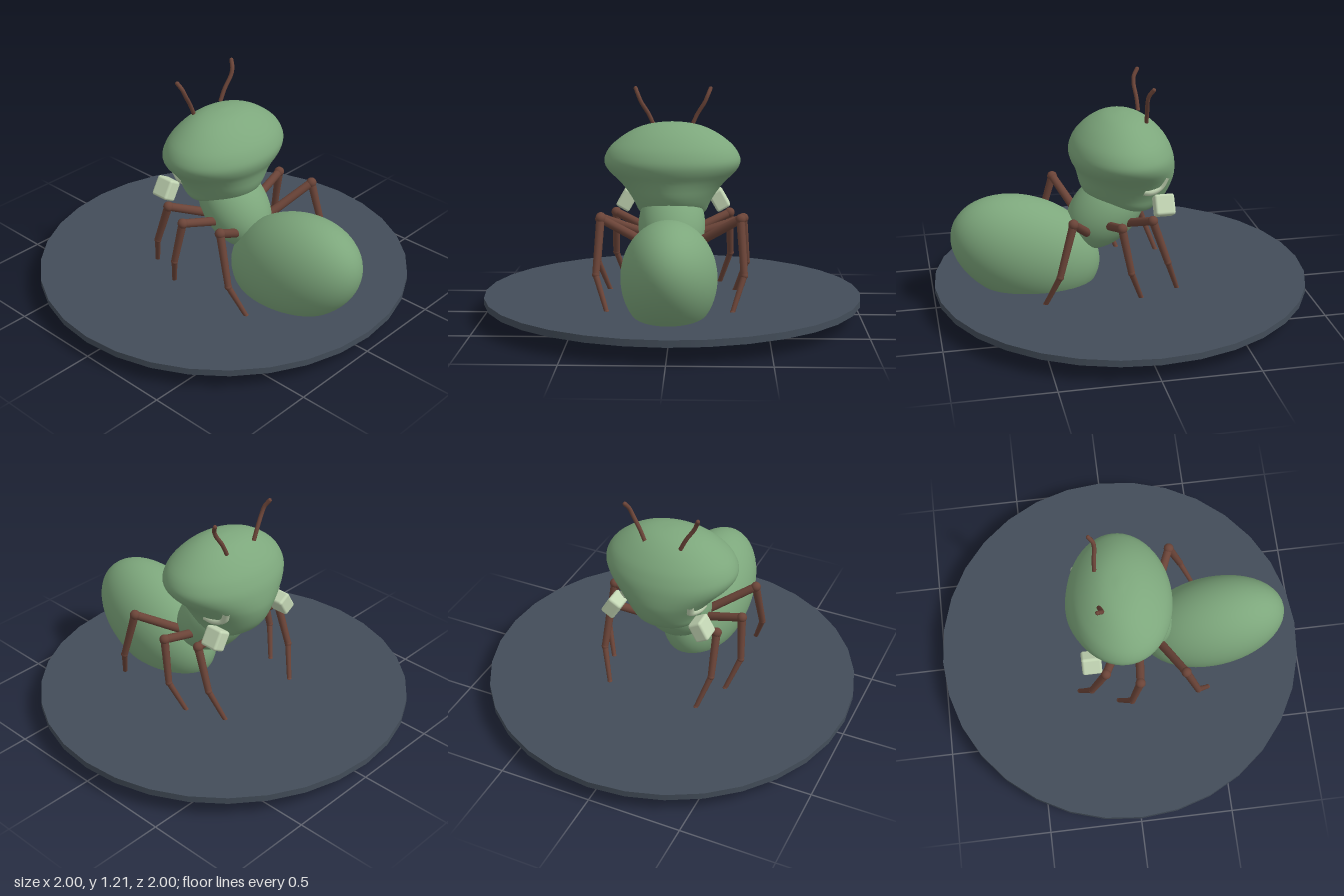
import * as THREE from 'three';
import { mergeVertices } from 'three/addons/utils/BufferGeometryUtils.js';
import { RoundedBoxGeometry } from 'three/addons/geometries/RoundedBoxGeometry.js';

const mat = (name, color) => {
  const m = new THREE.MeshStandardMaterial({ color });
  m.name = name;
  return m;
};
const V = (x, y, z) => new THREE.Vector3(x, y, z);

// Head: a sphere whose rows follow [y, half width, z at +z side, z at -z side]
const HEAD = [
  [1.037, 0, 0, 0], [1.027, 0.1, 0.07, -0.07], [1.005, 0.18, 0.125, -0.125],
  [0.965, 0.255, 0.185, -0.18], [0.91, 0.322, 0.237, -0.23], [0.86, 0.353, 0.263, -0.258],
  [0.82, 0.358, 0.27, -0.273], [0.78, 0.338, 0.26, -0.281], [0.74, 0.3, 0.24, -0.285],
  [0.7, 0.262, 0.228, -0.284], [0.65, 0.225, 0.215, -0.272], [0.6, 0.197, 0.185, -0.25],
  [0.56, 0.18, 0.125, -0.22], [0.53, 0.15, 0.04, -0.185], [0.51, 0.09, -0.03, -0.15],
  [0.5, 0, -0.09, -0.09],
];

function headGeometry() {
  const ys = new THREE.CatmullRomCurve3(HEAD.map(r => V(r[0], 0, 0)));
  ys.curveType = 'catmullrom';
  const spans = new THREE.CatmullRomCurve3(HEAD.map(r => V(r[1], r[2], r[3])));
  spans.curveType = 'catmullrom';
  const g = new THREE.SphereGeometry(1, 56, 45);
  const p = g.attributes.position, uv = g.attributes.uv;
  for (let i = 0; i < p.count; i++) {
    const t = THREE.MathUtils.clamp(1 - uv.getY(i), 0, 1);
    const a = Math.atan2(p.getZ(i), p.getX(i));
    const s = spans.getPoint(t);
    const mid = (s.y + s.z) / 2, half = (s.y - s.z) / 2;
    p.setXYZ(i, s.x * Math.cos(a), ys.getPoint(t).x, mid + half * Math.sin(a));
  }
  g.deleteAttribute('uv');
  g.deleteAttribute('normal');
  const merged = mergeVertices(g, 1e-4);
  merged.computeVertexNormals();
  return merged;
}

// Tapered round rod between two points
function rod(a, b, ra, rb, material, name) {
  const d = b.clone().sub(a);
  const m = new THREE.Mesh(new THREE.CylinderGeometry(rb, ra, d.length(), 12), material);
  m.position.copy(a).addScaledVector(d, 0.5);
  m.quaternion.setFromUnitVectors(V(0, 1, 0), d.normalize());
  m.name = name;
  return m;
}

function ball(center, radii, tilt, material, name, seg = 48) {
  const m = new THREE.Mesh(new THREE.SphereGeometry(1, seg, Math.round(seg * 0.7)), material);
  m.position.copy(center);
  m.scale.copy(radii);
  m.rotation.x = tilt;
  m.name = name;
  return m;
}

export function createModel() {
  const green = mat('body green', 0x7da77c);
  const pale = mat('pale green', 0xc3d6b4);
  const brown = mat('leg brown', 0x6b4438);
  const slate = mat('base slate', 0x434d59);
  const model = new THREE.Group();
  model.name = 'ant';

  // Round base
  const base = new THREE.Mesh(new THREE.CylinderGeometry(1, 1, 0.035, 32), slate);
  base.position.y = 0.107;
  base.name = 'base';
  model.add(base);

  // Body
  model.add(ball(V(0, 0.307, 0.51), V(0.24, 0.281, 0.412), -0.4, green, 'abdomen'));
  model.add(ball(V(0, 0.5, 0.08), V(0.175, 0.17, 0.25), Math.PI / 4, green, 'thorax'));
  const head = new THREE.Mesh(headGeometry(), green);
  head.name = 'head';
  model.add(head);

  // Leg joints: hip, knee, ankle, foot
  const legs = {
    hindLeg: [[0.12, 0.42, 0.2], [0.355, 0.57, 0.31], [0.375, 0.295, 0.385], [0.315, 0.12, 0.455]],
    middleLeg: [[0.12, 0.45, 0.09], [0.375, 0.535, 0.065], [0.395, 0.295, 0.02], [0.335, 0.12, -0.045]],
    frontLeg: [[0.1, 0.45, -0.01], [0.305, 0.535, -0.11], [0.312, 0.3, -0.19], [0.255, 0.12, -0.255]],
  };

  for (const s of [1, -1]) {
    const side = s > 0 ? 'left' : 'right';
    const at = ([x, y, z]) => V(s * x, y, z);

    for (const [name, joints] of Object.entries(legs)) {
      const [hip, knee, ankle, foot] = joints.map(at);
      const leg = new THREE.Group();
      leg.name = `${side} ${name}`;
      leg.add(
        rod(hip, knee, 0.024, 0.022, brown, 'thigh'),
        rod(knee, ankle, 0.022, 0.018, brown, 'shin'),
        rod(ankle, foot, 0.016, 0.012, brown, 'lowerShin'),
        ball(knee, V(0.027, 0.027, 0.027), 0, brown, 'knee', 16),
        ball(ankle, V(0.019, 0.019, 0.019), 0, brown, 'ankle', 16),
        ball(foot, V(0.014, 0.014, 0.014), 0, brown, 'foot', 16),
      );
      model.add(leg);
    }

    // Curved antenna
    const path = new THREE.CatmullRomCurve3(
      [[0.1, 1.0, -0.118], [0.13, 1.065, -0.115], [0.17, 1.13, -0.108], [0.185, 1.165, -0.112], [0.2, 1.2, -0.133]].map(at));
    const antenna = new THREE.Mesh(new THREE.TubeGeometry(path, 24, 0.011, 10), brown);
    antenna.name = `${side} antenna`;
    model.add(antenna, ball(path.getPoint(1), V(0.011, 0.011, 0.011), 0, brown, `${side} antennaTip`, 12));

    // Curved mandible showing through the cheek
    const bite = new THREE.CatmullRomCurve3(
      [[0.212, 0.67, -0.075], [0.2, 0.66, -0.12], [0.18, 0.675, -0.17], [0.19, 0.735, -0.2]].map(at));
    const mandible = new THREE.Mesh(new THREE.TubeGeometry(bite, 20, 0.026, 12), pale);
    mandible.name = `${side} mandible`;
    model.add(mandible);

    // Rounded block at the jaw
    const block = new THREE.Mesh(new RoundedBoxGeometry(0.08, 0.11, 0.105, 3, 0.014), pale);
    block.position.set(s * 0.25, 0.595, -0.18);
    block.rotation.z = s * 0.52;
    block.name = `${side} jawBlock`;
    model.add(block);
  }
  return model;
}
